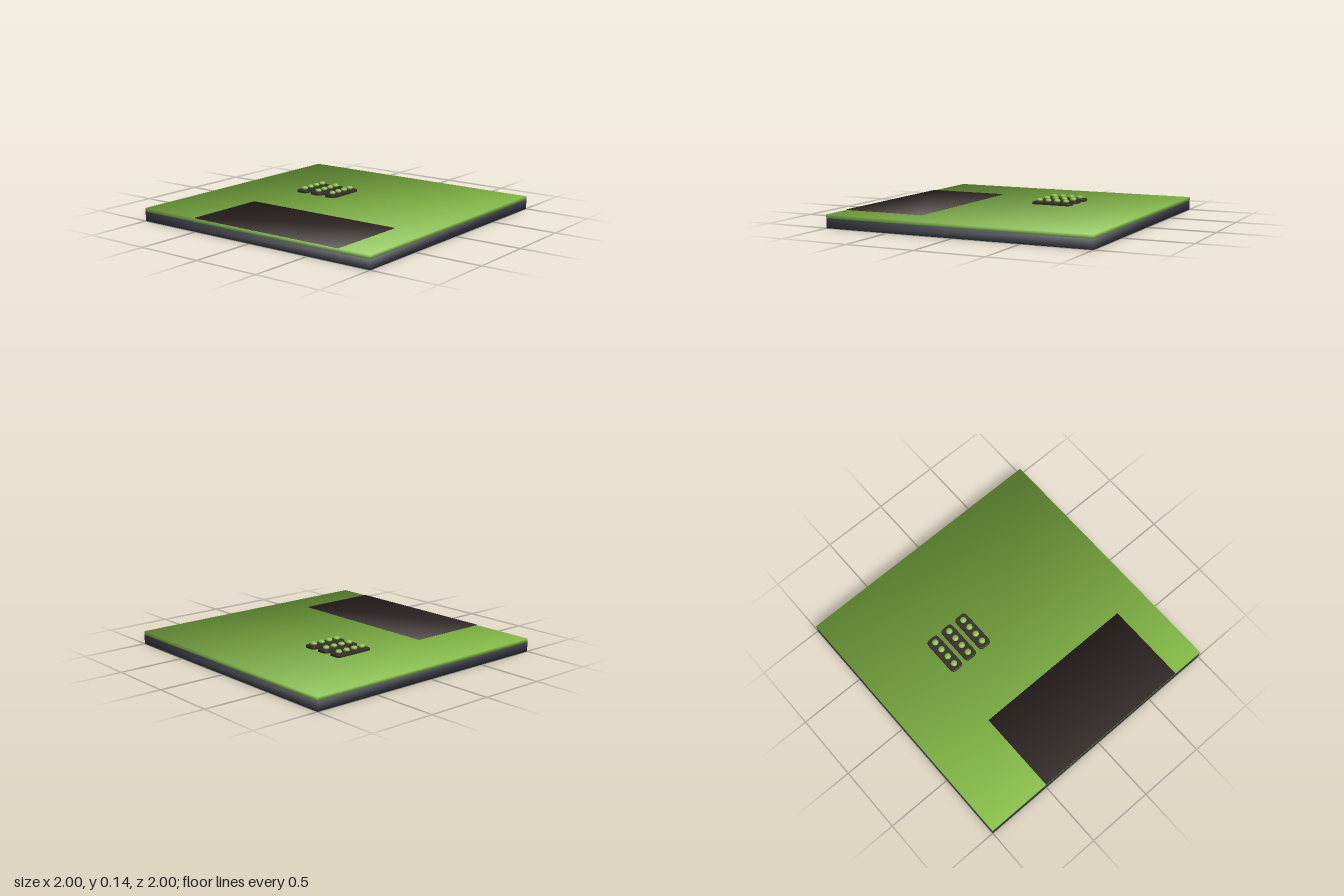
import * as THREE from 'three';

const material = (color) => new THREE.MeshStandardMaterial({ color });
const soil = material(0x3d3f4a);
const grass = material(0x8bc34a);
const earth = material(0x352b29);

// Slab with corner-averaged normals for soft shading across its faces
function slab(name, x0, x1, y0, y1, z0, z1, mat) {
  const geo = new THREE.BoxGeometry(x1 - x0, y1 - y0, z1 - z0);
  const pos = geo.attributes.position;
  const n = new THREE.Vector3();
  for (let i = 0; i < pos.count; i++) {
    n.set(Math.sign(pos.getX(i)), Math.sign(pos.getY(i)), Math.sign(pos.getZ(i))).normalize();
    geo.attributes.normal.setXYZ(i, n.x, n.y, n.z);
  }
  const mesh = new THREE.Mesh(geo, mat);
  mesh.name = name;
  mesh.position.set((x0 + x1) / 2, (y0 + y1) / 2, (z0 + z1) / 2);
  return mesh;
}

// Rounded rectangle centred on the origin
function roundedRect(w, d, r) {
  const s = new THREE.Shape();
  const x = w / 2, y = d / 2;
  s.moveTo(-x + r, -y);
  s.lineTo(x - r, -y).quadraticCurveTo(x, -y, x, -y + r);
  s.lineTo(x, y - r).quadraticCurveTo(x, y, x - r, y);
  s.lineTo(-x + r, y).quadraticCurveTo(-x, y, -x, y - r);
  s.lineTo(-x, -y + r).quadraticCurveTo(-x, -y, -x + r, -y);
  return s;
}

export function createModel() {
  const model = new THREE.Group();
  model.name = 'gardenPlot';

  // Ground layers and bare patch
  model.add(slab('groundBase', -1, 1, 0, 0.07, -1, 1, soil));
  model.add(slab('lawn', -1, 1, 0.07, 0.097, -1, 1, grass));
  model.add(slab('barePatch', -0.505, 0.75, 0.09, 0.101, 0.38, 1, earth));

  // Planting beds with a softened upper rim
  const bedGeo = new THREE.ExtrudeGeometry(roundedRect(0.09, 0.298, 0.026), {
    depth: 0.018, bevelSize: 0.005, bevelThickness: 0.005, bevelSegments: 2, curveSegments: 4,
  });
  bedGeo.rotateX(-Math.PI / 2);

  // Low rounded plant
  const plantGeo = new THREE.LatheGeometry(
    [[0.015, 0], [0.024, 0.009], [0.024, 0.016], [0.015, 0.025], [0, 0.027]]
      .map(([x, y]) => new THREE.Vector2(x, y)), 12);

  for (const x of [-0.42, -0.287, -0.153]) {
    const row = new THREE.Group();
    row.name = 'plantingRow';
    row.position.set(x, 0, -0.212);
    const bed = new THREE.Mesh(bedGeo, earth);
    bed.name = 'bed';
    bed.position.y = 0.092;
    row.add(bed);
    for (let i = 0; i < 4; i++) {
      const plant = new THREE.Mesh(plantGeo, grass);
      plant.name = 'plant';
      plant.position.set(0, 0.113, (i - 1.5) * 0.071);
      row.add(plant);
    }
    model.add(row);
  }
  return model;
}
